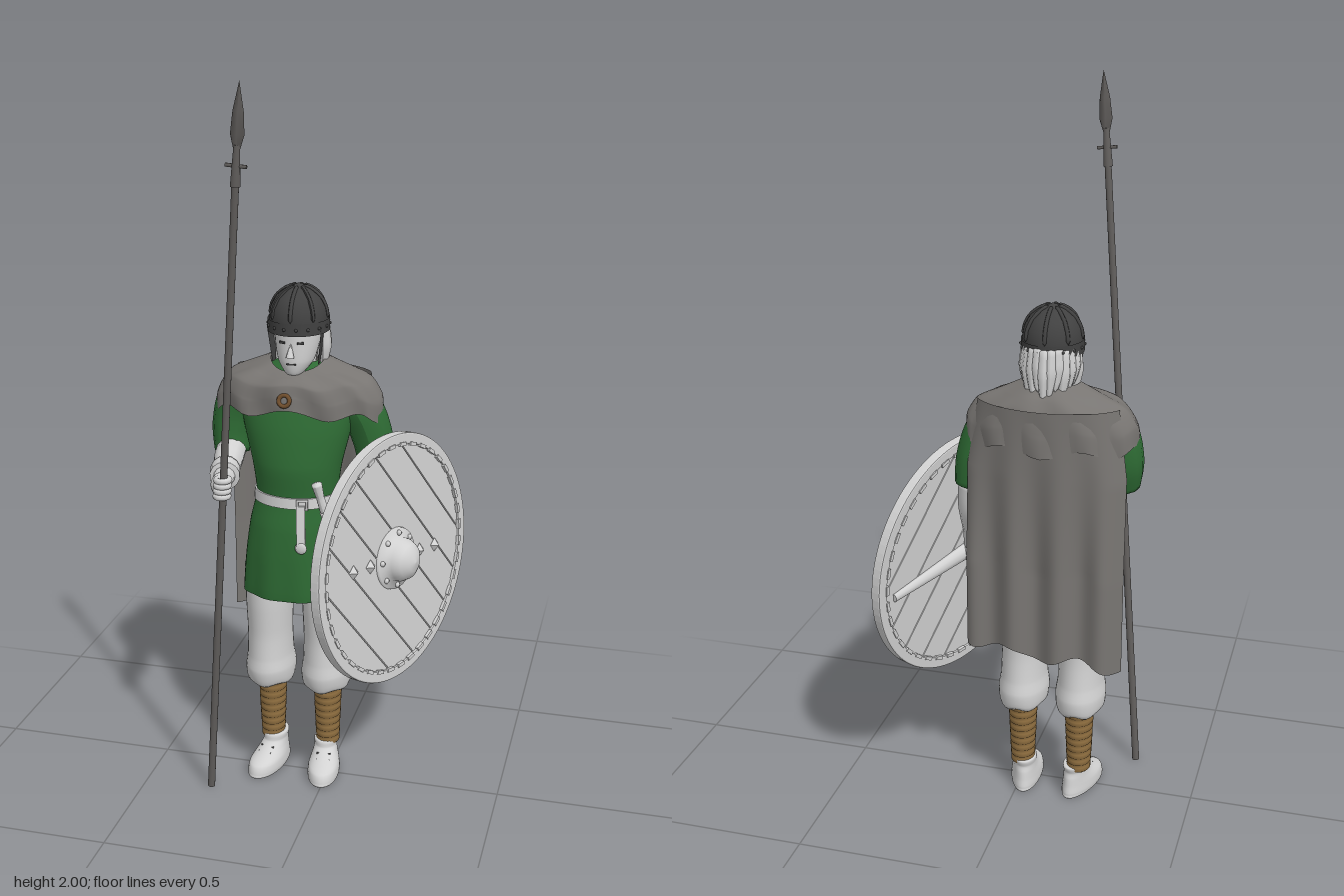
import * as THREE from 'three';
import { ParametricGeometry } from 'three/addons/geometries/ParametricGeometry.js';

const mat = (name, color, side = THREE.FrontSide) => {
  const m = new THREE.MeshStandardMaterial({ color, side });
  m.name = name;
  return m;
};
const M = {
  pale: mat('pale cloth and skin', 0xd2d2d2),
  green: mat('green wool', 0x2e6b34),
  cape: mat('grey cape', 0x787572, THREE.DoubleSide),
  dark: mat('dark iron', 0x414141),
  brown: mat('brown leg wrap', 0x8c6c3e),
  spear: mat('spear grey', 0x615e5c),
  brooch: mat('bronze brooch', 0x6e4d2c),
};

const add = (parent, name, geo, material, pos = [0, 0, 0], rot = [0, 0, 0], scl = [1, 1, 1]) => {
  const mesh = new THREE.Mesh(geo, material);
  mesh.name = name;
  mesh.position.set(...pos);
  mesh.rotation.set(...rot);
  mesh.scale.set(...scl);
  parent.add(mesh);
  return mesh;
};
const group = (parent, name) => {
  const g = new THREE.Group();
  g.name = name;
  parent.add(g);
  return g;
};

// Smooth loft through horizontal ellipses [y, cx, cz, rx, rz], listed bottom to top
function loft(rows, warp = null, nu = 32, nv = 28) {
  const spline = f => new THREE.CatmullRomCurve3(rows.map(f), false, 'catmullrom', 0.35);
  const centre = spline(r => new THREE.Vector3(r[1], r[0], r[2]));
  const radius = spline(r => new THREE.Vector3(r[3], 0, r[4]));
  return new ParametricGeometry((u, v, p) => {
    const c = centre.getPoint(v), r = radius.getPoint(v), a = u * Math.PI * 2;
    p.set(c.x + Math.cos(a) * Math.max(r.x, 0.0005), c.y, c.z - Math.sin(a) * Math.max(r.z, 0.0005));
    if (warp) warp(p, a, v);
  }, nu, nv);
}

// Tapered limb through points [x, y, z, radius], closed at both ends
function limb(pts, seg = 20, sides = 14) {
  const curve = new THREE.CatmullRomCurve3(pts.map(p => new THREE.Vector3(p[0], p[1], p[2])));
  const geo = new THREE.TubeGeometry(curve, seg, 1, sides);
  const pos = geo.attributes.position, v = new THREE.Vector3();
  for (let i = 0; i <= seg; i++) {
    const f = (i / seg) * (pts.length - 1), k = Math.min(Math.floor(f), pts.length - 2);
    const r = i === 0 || i === seg ? 0.0005 : THREE.MathUtils.lerp(pts[k][3], pts[k + 1][3], f - k);
    const c = curve.getPointAt(i / seg);
    for (let j = 0; j <= sides; j++) {
      const n = i * (sides + 1) + j;
      v.fromBufferAttribute(pos, n).sub(c).multiplyScalar(r).add(c);
      pos.setXYZ(n, v.x, v.y, v.z);
    }
  }
  geo.computeVertexNormals();
  return geo;
}

function buildHead(root) {
  const g = group(root, 'head');
  g.position.set(-0.09, 0, 0);
  add(g, 'neck', loft([[1.15, 0, -0.05, 0.055, 0.055], [1.22, 0, -0.045, 0.045, 0.048], [1.3, 0, -0.04, 0.045, 0.05]]), M.pale);
  add(g, 'face', loft([[1.213, 0, 0.015, 0, 0], [1.217, 0, 0.013, 0.022, 0.025], [1.25, 0, -0.01, 0.048, 0.057],
    [1.3, 0, -0.025, 0.06, 0.072], [1.36, 0, -0.035, 0.064, 0.08], [1.4, 0, -0.035, 0.05, 0.06]]), M.pale);
  add(g, 'nose', new THREE.ConeGeometry(0.012, 0.042, 8), M.pale, [0, 1.288, 0.05], [-0.25, 0, 0]);
  add(g, 'mouth', new THREE.BoxGeometry(0.026, 0.004, 0.006), M.dark, [0, 1.248, 0.045]);
  for (const s of [-1, 1]) {
    add(g, 'eye', new THREE.BoxGeometry(0.017, 0.006, 0.006), M.dark, [s * 0.025, 1.306, 0.041], [0, s * 0.4, 0]);
    // Curved cheek guard hanging from the brim
    add(g, 'cheekGuard', new ParametricGeometry((u, v, p) => {
      const w = 0.038 - 0.024 * v, z = -0.022 + (u - 0.5) * 2 * w + 0.012 * v;
      p.set(s * (0.075 - 0.012 * v - z * z * 2), 1.345 - v * 0.105, z);
    }, 8, 8), M.helmetSide);
  }
  for (let i = 0; i < 13; i++) {
    const a = Math.PI * (0.02 + 0.96 * i / 12), x = Math.cos(a), z = -Math.sin(a), drop = 0.02 * (i % 3);
    add(g, 'hairLock', limb([[x * 0.06, 1.36, -0.04 + z * 0.075, 0.018], [x * 0.068, 1.28, -0.045 + z * 0.085, 0.019],
      [x * 0.06, 1.2 + drop, -0.045 + z * 0.095, 0.005]], 10, 7), M.pale);
  }
  // Ribbed dome, brow band and rivets
  const h = group(g, 'helmet');
  h.position.z = -0.037;
  h.scale.z = 1.12;
  const profile = [[0.079, 1.325], [0.08, 1.36], [0.075, 1.39], [0.06, 1.417], [0.035, 1.437], [0.013, 1.446], [0, 1.452]];
  add(h, 'dome', new THREE.LatheGeometry(profile.map(p => new THREE.Vector2(...p)), 32), M.helmetSide);
  add(h, 'browBand', new THREE.CylinderGeometry(0.083, 0.083, 0.034, 32, 1, true), M.helmetSide, [0, 1.343, 0]);
  for (let i = 0; i < 8; i++) {
    const a = i * Math.PI / 4, c = Math.cos(a), s = Math.sin(a);
    add(h, 'rib', limb(profile.slice(1, 6).map(p => [p[0] * c, p[1], p[0] * s, 0.0055]), 14, 6), M.dark);
    for (const o of [-0.2, 0.2])
      add(h, 'rivet', new THREE.SphereGeometry(0.0045, 8, 6), M.dark, [0.083 * Math.cos(a + o), 1.343, 0.083 * Math.sin(a + o)]);
  }
}

function buildBody(root) {
  const g = group(root, 'body');
  const fold = (p, a, v) => {
    const k = 1 + 0.035 * Math.sin(a * 9) * Math.max(0, 1 - v * 2.2);
    p.x = -0.098 + (p.x + 0.098) * k;
    p.z *= k;
  };
  add(g, 'tunic', loft([[0.62, -0.1, -0.01, 0, 0], [0.59, -0.1, -0.01, 0.135, 0.1], [0.585, -0.1, -0.01, 0.146, 0.112], [0.7, -0.1, -0.008, 0.136, 0.11],
    [0.79, -0.096, -0.008, 0.126, 0.104], [0.87, -0.09, -0.01, 0.114, 0.092], [0.96, -0.09, -0.012, 0.125, 0.1], [1.06, -0.092, -0.025, 0.15, 0.098],
    [1.15, -0.094, -0.045, 0.165, 0.092], [1.2, -0.094, -0.05, 0.12, 0.075], [1.24, -0.094, -0.05, 0.055, 0.052]], fold, 54, 44), M.green);
  add(g, 'rightSleeve', limb([[-0.2, 1.16, -0.05, 0.055], [-0.26, 1.12, -0.05, 0.062], [-0.283, 1.04, -0.045, 0.058], [-0.282, 0.955, -0.025, 0.047]]), M.green);
  add(g, 'leftSleeve', limb([[0.02, 1.16, -0.055, 0.055], [0.075, 1.11, -0.06, 0.06], [0.11, 1.02, -0.068, 0.056], [0.122, 0.93, -0.07, 0.05]]), M.green);
  // Belt, hanging strap and sheathed knife
  add(g, 'belt', new THREE.CylinderGeometry(0.119, 0.121, 0.03, 32, 1), M.pale, [-0.09, 0.868, -0.01], [0, 0, 0], [1, 1, 0.82]);
  add(g, 'buckle', new THREE.TorusGeometry(0.018, 0.005, 6, 4), M.pale, [-0.05, 0.868, 0.09], [0, 0.2, Math.PI / 4]);
  add(g, 'beltTail', new THREE.BoxGeometry(0.024, 0.12, 0.01), M.pale, [-0.052, 0.805, 0.097], [-0.12, 0.2, 0.04]);
  add(g, 'beltTailEnd', new THREE.SphereGeometry(0.017, 10, 8), M.pale, [-0.05, 0.748, 0.105], [0, 0, 0], [1, 1, 0.4]);
  add(g, 'knifeHilt', limb([[0.012, 0.85, 0.08, 0.013], [0.002, 0.89, 0.088, 0.011], [-0.008, 0.94, 0.098, 0.015]]), M.pale);
  add(g, 'knifeSheath', limb([[0.012, 0.86, 0.08, 0.018], [0.035, 0.78, 0.07, 0.016], [0.055, 0.71, 0.06, 0.007]]), M.pale);

  // Arms and hands
  add(g, 'rightForearm', limb([[-0.28, 0.985, -0.03, 0.04], [-0.272, 0.965, 0.04, 0.041], [-0.258, 0.955, 0.1, 0.034], [-0.248, 0.952, 0.165, 0.026]]), M.pale);
  add(g, 'rightCuff', limb([[-0.263, 0.957, 0.095, 0.041], [-0.249, 0.952, 0.145, 0.041]], 12), M.pale);
  add(g, 'rightPalm', new THREE.SphereGeometry(0.03, 16, 12), M.pale, [-0.243, 0.951, 0.198], [0, 0, 0], [0.85, 1.05, 1.15]);
  for (let i = 0; i < 4; i++)
    add(g, 'rightFinger', new THREE.TorusGeometry(0.017, 0.0085, 8, 14), M.pale, [-0.232 + i * 0.001, 0.928 + i * 0.015, 0.222], [Math.PI / 2, 0, 0]);
  add(g, 'leftForearm', limb([[0.122, 0.96, -0.07, 0.04], [0.128, 0.87, -0.055, 0.041], [0.135, 0.78, -0.02, 0.034], [0.148, 0.715, 0.005, 0.026]]), M.pale);
  add(g, 'leftHand', new THREE.SphereGeometry(0.034, 16, 12), M.pale, [0.152, 0.705, 0.01], [0, 0, 0], [0.8, 1.1, 1.1]);

  // Legs: baggy trousers, banded wraps and shoes
  for (const [side, x, turn] of [['right', -0.178, -0.22], ['left', -0.012, 0.12]]) {
    const leg = group(g, side + 'Leg');
    leg.position.x = x;
    add(leg, 'trousers', loft([[0.29, 0, -0.042, 0, 0], [0.268, 0, -0.042, 0.04, 0.05], [0.285, 0, -0.035, 0.066, 0.088], [0.325, 0, -0.032, 0.071, 0.097],
      [0.37, 0, -0.03, 0.065, 0.09], [0.44, 0, -0.028, 0.063, 0.085], [0.54, 0, -0.025, 0.066, 0.088], [0.66, 0, -0.02, 0.066, 0.085]],
      (p, a, v) => { p.y += 0.008 * Math.sin(a * 5) * Math.max(0, 1 - v * 2); }), M.pale);
    const bands = [];
    for (let i = 0; i < 9; i++) {
      const r = 0.031 + i * 0.0009, y = 0.08 + i * 0.022;
      bands.push(new THREE.Vector2(r - 0.002, y), new THREE.Vector2(r + 0.003, y + 0.005), new THREE.Vector2(r + 0.003, y + 0.018));
    }
    add(leg, 'legWrap', new THREE.LatheGeometry(bands, 20), M.brown, [0, 0, -0.046], [0, 0, 0], [1, 1, 1.2]);
    const shoe = group(leg, 'shoe');
    shoe.rotation.y = turn;
    const taper = p => { p.x *= 1 + p.z * 1.2; };
    add(shoe, 'upper', loft([[0, 0, -0.003, 0, 0], [0, 0, -0.003, 0.04, 0.094], [0.012, 0, -0.003, 0.046, 0.099], [0.035, 0, -0.006, 0.044, 0.091],
      [0.058, 0, -0.03, 0.037, 0.063], [0.075, 0, -0.042, 0.034, 0.046], [0.095, 0, -0.047, 0.034, 0.044], [0.095, 0, -0.047, 0, 0]], taper), M.pale);
    for (const z of [0.012, 0.03])
      add(shoe, 'lace', new THREE.CylinderGeometry(0.003, 0.003, 0.04, 6), M.dark, [0, 0.064 - (z - 0.012) * 0.6, z], [0, 0, Math.PI / 2]);
  }
}

function buildCape(root) {
  const g = group(root, 'cape');
  add(g, 'mantle', loft([[1.085, -0.095, -0.055, 0.236, 0.126], [1.14, -0.095, -0.055, 0.232, 0.125], [1.19, -0.095, -0.055, 0.2, 0.12],
    [1.222, -0.095, -0.055, 0.135, 0.1], [1.25, -0.095, -0.05, 0.075, 0.072]], (p, a, v) => {
    const front = Math.max(0, -Math.sin(a));
    p.y += front * (0.03 - 0.06 * v) + 0.012 * Math.sin(a * 7) * (1 - v);
    p.z += 0.005 * Math.sin(a * 11 + v * 4) * (1 - v);
  }, 64, 20), M.cape);
  // Long back drape, curved at the shoulders and folded towards the hem
  add(g, 'backDrape', new ParametricGeometry((u, v, p) => {
    const s = 1 - 2 * u, e = Math.pow(Math.abs(s), 4);
    const top = -0.058 - 0.124 * Math.sqrt(1 - 0.85 * s * s);
    const low = -0.165 + 0.03 * e + 0.013 * Math.sin(s * 11 + 0.6);
    const k = Math.min(1, v * 1.6);
    p.set(-0.095 + s * (0.19 + 0.025 * Math.min(1, v * 4)), 1.2 - v * (0.715 - s * 0.02) - 0.015 * v * Math.cos(s * 7), THREE.MathUtils.lerp(top, low, k));
  }, 48, 24), M.cape);
  add(g, 'brooch', new THREE.TorusGeometry(0.015, 0.006, 8, 16), M.brooch, [-0.102, 1.155, 0.075], [-0.3, 0, 0]);
}

function buildSpear(root) {
  const g = group(root, 'spear');
  const foot = new THREE.Vector3(-0.308, 0.001, 0.157), tip = new THREE.Vector3(-0.138, 2, 0.298);
  const dir = tip.clone().sub(foot), L = dir.length();
  g.position.copy(foot);
  g.quaternion.setFromUnitVectors(new THREE.Vector3(0, 1, 0), dir.normalize());
  add(g, 'shaft', new THREE.CylinderGeometry(0.0095, 0.0105, 1.78, 12), M.spear, [0, 0.89, 0]);
  add(g, 'socket', new THREE.CylinderGeometry(0.008, 0.013, 0.1, 12), M.spear, [0, 1.81, 0]);
  add(g, 'wings', new THREE.CylinderGeometry(0.005, 0.005, 0.054, 6), M.spear, [0, 1.81, 0], [0, 0, Math.PI / 2]);
  const blade = [[0.006, 1.84], [0.018, 1.885], [0.014, 1.94], [0, L]].map(p => new THREE.Vector2(...p));
  add(g, 'blade', new THREE.LatheGeometry(blade, 4), M.spear, [0, 0, 0], [0, 0, 0], [0.4, 1, 1.0]).rotation.y = Math.PI / 2;
}

function buildShield(root) {
  const g = group(root, 'shield');
  g.position.set(0.183, 0.703, 0);
  g.lookAt(g.position.clone().add(new THREE.Vector3(0.92, 0.064, 0.39)));
  // Diagonal planks cut to the round outline
  const R = 0.335, n = 7, w = 2 * R / n;
  for (let i = 0; i < n; i++) {
    const y0 = -R + i * w + 0.002, y1 = y0 + w - 0.004, right = [], left = [];
    for (let k = 0; k <= 8; k++) {
      const y = y0 + (y1 - y0) * k / 8, x = Math.sqrt(R * R - y * y);
      right.push(new THREE.Vector2(x, y));
      left.unshift(new THREE.Vector2(-x, y));
    }
    add(g, 'plank', new THREE.ExtrudeGeometry(new THREE.Shape([...right, ...left]),
      { depth: 0.01, bevelSize: 0.002, bevelThickness: 0.004, bevelSegments: 1 }), M.pale, [0, 0, -0.006], [0, 0, -0.88]);
  }
  const ring = new THREE.Shape().absarc(0, 0, 0.346, 0, Math.PI * 2);
  ring.holes.push(new THREE.Path().absarc(0, 0, 0.322, 0, Math.PI * 2));
  add(g, 'rim', new THREE.ExtrudeGeometry(ring, { depth: 0.022, bevelSize: 0.004, bevelThickness: 0.004, bevelSegments: 2, curveSegments: 48 }), M.pale, [0, 0, -0.012]);
  for (let i = 0; i < 40; i++) {
    const a = i * Math.PI / 20;
    add(g, 'rimStitch', new THREE.BoxGeometry(0.01, 0.028, 0.036), M.pale, [0.319 * Math.cos(a), 0.319 * Math.sin(a), -0.001], [0, 0, a]);
  }
  const row = group(g, 'bossAndGrip');
  row.rotation.z = -0.123;
  const boss = [[0.088, 0.006], [0.086, 0.016], [0.062, 0.02], [0.06, 0.038], [0.048, 0.06], [0.026, 0.074], [0, 0.079]];
  add(row, 'boss', new THREE.LatheGeometry(boss.map(p => new THREE.Vector2(...p)), 32), M.pale, [0, 0, 0], [Math.PI / 2, 0, 0]);
  for (let i = 0; i < 8; i++) {
    const a = i * Math.PI / 4;
    add(row, 'bossRivet', new THREE.SphereGeometry(0.008, 8, 6), M.pale, [0.074 * Math.cos(a), 0.074 * Math.sin(a), 0.019]);
  }
  for (const x of [-0.195, -0.118, 0.118, 0.195])
    add(row, 'stud', new THREE.OctahedronGeometry(0.02), M.pale, [x, 0, 0.01], [0, 0, 0], [1, 1, 0.8]);
  // Tapered grip bar across the back
  for (const s of [-1, 1])
    add(row, 'gripBar', new THREE.CylinderGeometry(0.012, 0.026, 0.29, 10), M.pale, [s * 0.145, 0, -0.012], [0, 0, -s * Math.PI / 2], [1, 1, 0.8]);
}

export function createModel() {
  const root = new THREE.Group();
  root.name = 'spearman';
  M.helmetSide = mat('helmet iron', 0x414141, THREE.DoubleSide);
  buildHead(root);
  buildBody(root);
  buildCape(root);
  buildSpear(root);
  buildShield(root);
  return root;
}
